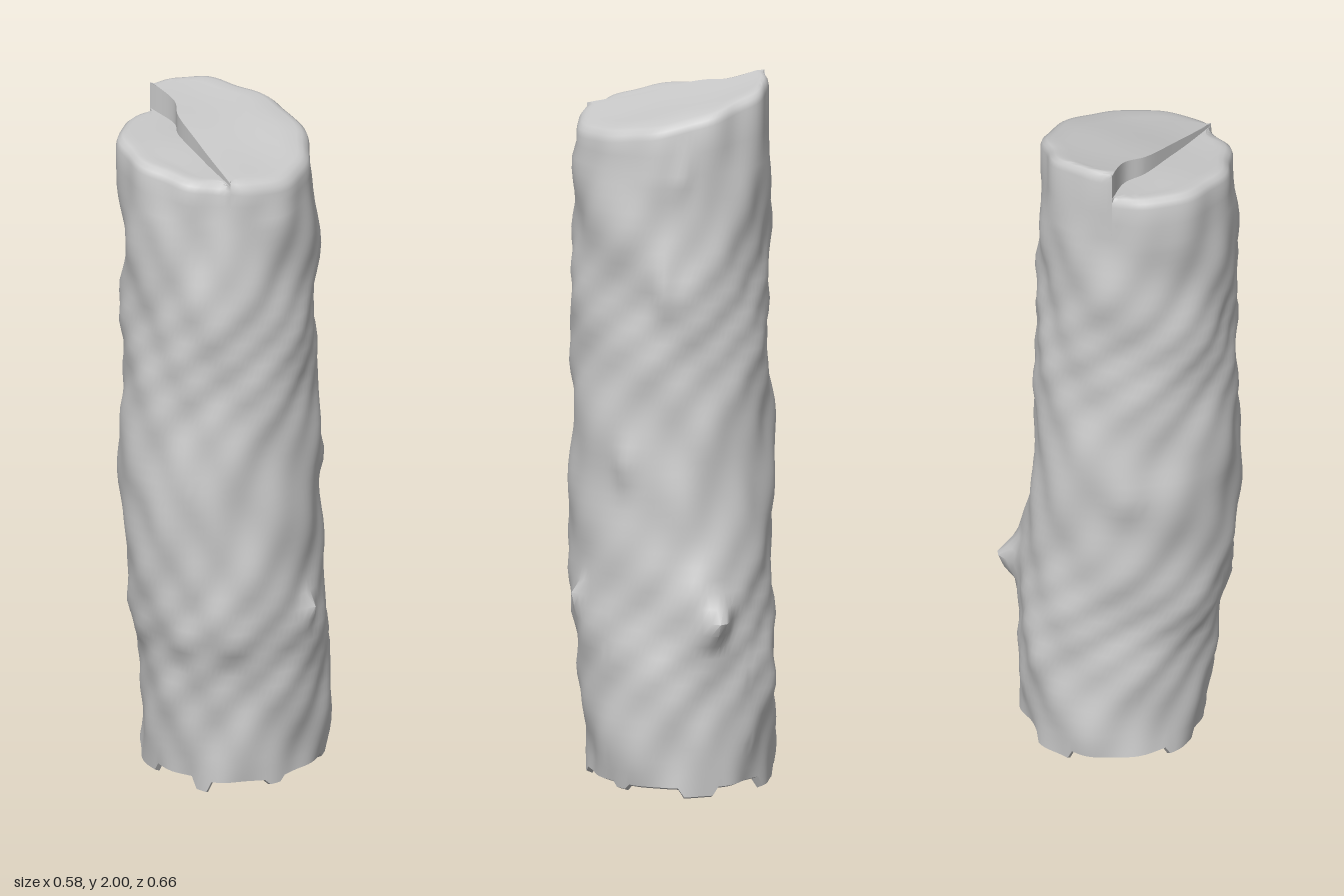
import * as THREE from 'three';
import { mergeGeometries, toCreasedNormals } from 'three/addons/utils/BufferGeometryUtils.js';

// Trunk outline by height: y, min x, max x, min z, max z
const PROFILE = [
  [0.04, -0.24, 0.275, -0.265, 0.245], [0.2, -0.24, 0.285, -0.275, 0.26],
  [0.4, -0.24, 0.285, -0.275, 0.285], [0.5, -0.25, 0.285, -0.27, 0.32],
  [0.7, -0.265, 0.275, -0.25, 0.33], [0.95, -0.285, 0.27, -0.235, 0.335],
  [1.2, -0.27, 0.265, -0.23, 0.325], [1.5, -0.27, 0.265, -0.225, 0.33],
  [1.75, -0.28, 0.26, -0.22, 0.32], [1.9, -0.285, 0.25, -0.21, 0.31],
];
// Knots and bark flakes: angle, y, height, angular spread, vertical spread
const BUMPS = [
  [2.78, 0.52, 0.065, 0.14, 0.06], [2.6, 0.62, 0.025, 0.2, 0.1],
  [1.25, 0.55, 0.025, 0.07, 0.03], [1.9, 0.95, 0.018, 0.12, 0.06],
  [2.3, 1.45, 0.018, 0.1, 0.05], [4.4, 0.9, 0.012, 0.2, 0.06],
  [2.5, 1.78, 0.015, 0.1, 0.05], [3.6, 0.35, 0.012, 0.15, 0.1],
];
// Bark tabs hanging below the base: angle, depth, half width
const TABS = [[-0.05, 0.035, 0.09], [-0.95, 0.025, 0.2], [0.75, 0.015, 0.1],
  [2.6, 0.025, 0.16], [3.7, 0.03, 0.25], [1.7, 0.015, 0.1]];

const lerp = THREE.MathUtils.lerp;
const wrap = (a) => Math.atan2(Math.sin(a), Math.cos(a));

function outline(y) {
  let i = 0;
  while (i < PROFILE.length - 2 && y > PROFILE[i + 1][0]) i++;
  const a = PROFILE[i], b = PROFILE[i + 1];
  const t = THREE.MathUtils.clamp((y - a[0]) / (b[0] - a[0]), 0, 1);
  return a.map((v, k) => lerp(v, b[k], t));
}

// Point on the lumpy bark
function bark(angle, y) {
  const [, x0, x1, z0, z1] = outline(y);
  let d = 0.005 * Math.sin(3 * angle + 5 * y + 2 * Math.sin(4 * y))
    + 0.004 * Math.sin(5 * angle - 13 * y + 1)
    + 0.004 * Math.sin(7 * angle + 21 * y + 2 * Math.sin(2 * angle))
    + 0.003 * Math.sin(11 * angle - 30 * y + 3 * Math.sin(7 * y));
  for (const [a, by, h, sa, sy] of BUMPS) {
    d += h * Math.exp(-((wrap(angle - a) / sa) ** 2) - ((y - by) / sy) ** 2);
  }
  return new THREE.Vector3(
    (x0 + x1) / 2 + ((x1 - x0) / 2 + d) * Math.sin(angle), y,
    (z0 + z1) / 2 + ((z1 - z0) / 2 + d) * Math.cos(angle));
}

// Sloping heights of the two halves of the cut top
const highTop = (x, z) => Math.min(2, 1.945 - 0.22 * x - 0.1 * z);
const lowTop = (x, z) => 1.893 - 0.13 * x + 0.02 * z;

// Split line across the cut
const A = -2.085, B = 0.44;
const endA = bark(A, 1.85), endB = bark(B, 1.85);
const split = new THREE.CatmullRomCurve3([endA,
  new THREE.Vector3(-0.155, 0, -0.02), new THREE.Vector3(-0.125, 0, 0.045),
  new THREE.Vector3(-0.03, 0, 0.15), endB].map((p) => p.clone().setY(0)));

function grid(rows) {
  const n = rows[0].length, index = [];
  for (let r = 0; r < rows.length - 1; r++) {
    for (let c = 0; c < n - 1; c++) {
      const a = r * n + c;
      index.push(a, a + 1, a + n + 1, a, a + n + 1, a + n);
    }
  }
  const g = new THREE.BufferGeometry().setFromPoints(rows.flat());
  g.setIndex(index);
  return g;
}

// One half of the log: base, bark, rounded rim and cut face up to the split
function half(from, to, cols, top, splitAt) {
  const column = (u) => {
    const angle = lerp(from, to, u), s = split.getPoint(splitAt(u));
    const pts = [];
    const foot = bark(angle, 0.04), [, x0, x1, z0, z1] = outline(0.04);
    const centre = new THREE.Vector3((x0 + x1) / 2, 0.045, (z0 + z1) / 2);
    for (const f of [0, 0.5, 0.88]) pts.push(centre.clone().lerp(foot, f).setY(0.045));
    // Ragged bottom edge
    let drop = 0;
    for (const [a, depth, w] of TABS) if (Math.abs(wrap(angle - a)) < w) drop = depth;
    pts.push(centre.clone().lerp(foot, 0.94).setY(0.038 - drop));
    pts.push(foot.clone().setY(0.045 - drop));
    for (let i = 0; i <= 46; i++) pts.push(bark(angle, lerp(0.08, 1.78, i / 46)));
    const rim = bark(angle, 1.85), h = top(rim.x, rim.z);
    pts.push(rim.clone().setY(lerp(1.78, h, 0.4)), rim.clone().setY(h - 0.03));
    const width = Math.max(0.001, Math.hypot(rim.x - s.x, rim.z - s.z));
    for (const [inset, down] of [[0.006, 0.013], [0.02, 0.003], [0.035, 0]]) {
      const p = rim.clone().lerp(s, Math.min(0.8, inset / width));
      pts.push(p.setY(top(p.x, p.z) - down));
    }
    const f0 = Math.min(0.8, 0.035 / width);
    for (let i = 1; i <= 6; i++) {
      const p = rim.clone().lerp(s, lerp(f0, 1, i / 6));
      const dip = 0.003 * Math.sin(14 * p.x + 3) * Math.sin(17 * p.z);
      pts.push(p.setY(top(p.x, p.z) + dip));
    }
    return pts;
  };
  const columns = Array.from({ length: cols + 1 }, (_, c) => column(c / cols));
  return grid(columns[0].map((_, r) => columns.map((col) => col[r])));
}

export function createModel() {
  const group = new THREE.Group();
  group.name = 'log';
  const material = new THREE.MeshStandardMaterial({ color: 0xcccccc, side: THREE.DoubleSide });

  const trunk = mergeGeometries([
    half(A, B, 40, lowTop, (u) => u),
    half(B, A + 2 * Math.PI, 60, highTop, (u) => 1 - u),
  ]);
  const trunkMesh = new THREE.Mesh(toCreasedNormals(trunk, 0.8), material);
  trunkMesh.name = 'trunk';
  group.add(trunkMesh);

  // Step between the two halves of the cut
  const line = split.getPoints(40);
  const wall = grid([
    line.map((p) => p.clone().setY(lowTop(p.x, p.z) - 0.03)),
    line.map((p) => p.clone().setY(highTop(p.x, p.z))),
  ]);
  wall.computeVertexNormals();
  const wallMesh = new THREE.Mesh(wall, material);
  wallMesh.name = 'splitStep';
  group.add(wallMesh);
  return group;
}
